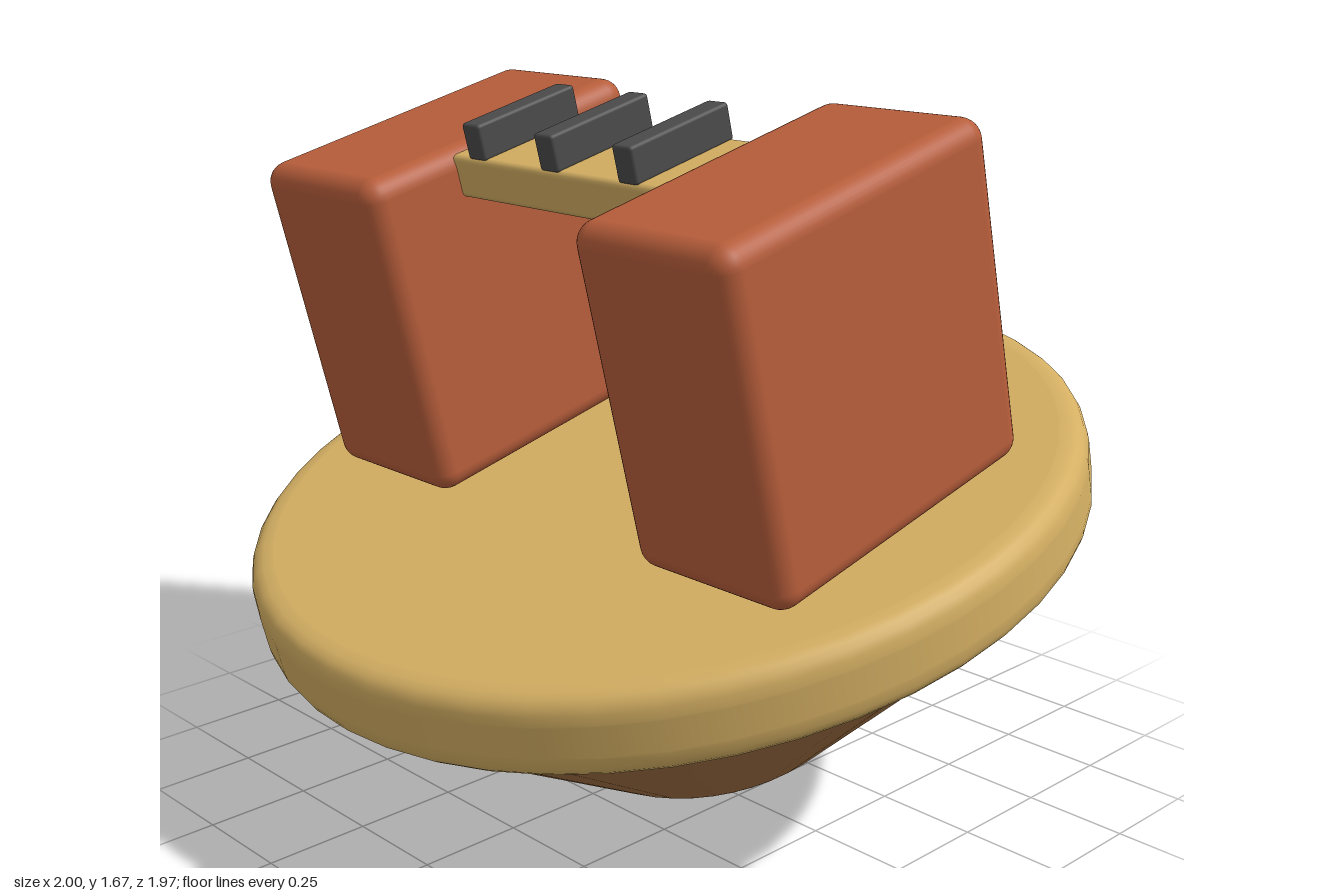
import * as THREE from 'three';
import { RoundedBoxGeometry } from 'three/addons/geometries/RoundedBoxGeometry.js';

const sand = new THREE.MeshStandardMaterial({ color: 0xd4af63 });
const brown = new THREE.MeshStandardMaterial({ color: 0xa06f42 });
const rust = new THREE.MeshStandardMaterial({ color: 0xb85e3b });
const charcoal = new THREE.MeshStandardMaterial({ color: 0x4b4b4b });
sand.name = 'sand';
brown.name = 'brown';
rust.name = 'rust';
charcoal.name = 'charcoal';

// Solid of revolution: [radius, y, bevel] corners, bottom to top, rounded and kept flat between bevels
function turned(corners, segments) {
  const pts = corners.map(([r, y]) => new THREE.Vector2(r, y));
  const profile = [pts[0]];
  for (let i = 1; i < pts.length - 1; i++) {
    const c = pts[i], bevel = corners[i][2];
    const toPrev = pts[i - 1].clone().sub(c).normalize();
    const toNext = pts[i + 1].clone().sub(c).normalize();
    const a = c.clone().addScaledVector(toPrev, bevel);
    const b = c.clone().addScaledVector(toNext, bevel);
    profile.push(a.clone().addScaledVector(toPrev, 0.004));
    profile.push(...new THREE.QuadraticBezierCurve(a, c, b).getPoints(5));
    profile.push(b.clone().addScaledVector(toNext, 0.004));
  }
  profile.push(pts[pts.length - 1]);
  return new THREE.LatheGeometry(profile, segments);
}

export function createModel() {
  const model = new THREE.Group();
  model.name = 'model';

  // Everything leans forward together
  const tilted = new THREE.Group();
  tilted.name = 'tiltedBody';
  tilted.position.y = 0.705;
  tilted.rotation.x = THREE.MathUtils.degToRad(14);
  model.add(tilted);

  const add = (name, geometry, material, x = 0, y = 0, z = 0) => {
    const mesh = new THREE.Mesh(geometry, material);
    mesh.name = name;
    mesh.position.set(x, y, z);
    tilted.add(mesh);
  };

  // Round platform and the tapered base under it
  add('platform', turned([[0, -0.1], [1, -0.1, 0.06], [1, 0.1, 0.06], [0, 0.1]], 48), sand);
  add('taperedBase', turned([[0, -0.65], [0.345, -0.65, 0.03], [0.95, -0.1, 0.015], [0, -0.1]], 48), brown);

  // Two upright blocks
  const block = new RoundedBoxGeometry(0.44, 0.79, 0.8, 4, 0.05);
  add('leftBlock', block, rust, 0.55, 0.497);
  add('rightBlock', block, rust, -0.55, 0.497);

  // Bridge between the blocks with three ribs on top
  add('bridge', new RoundedBoxGeometry(0.7, 0.102, 0.3, 3, 0.015), sand, 0, 0.825);
  const rib = new RoundedBoxGeometry(0.06, 0.085, 0.295, 2, 0.008);
  for (const x of [-0.25, 0, 0.25]) add('rib', rib, charcoal, x, 0.915);

  return model;
}
